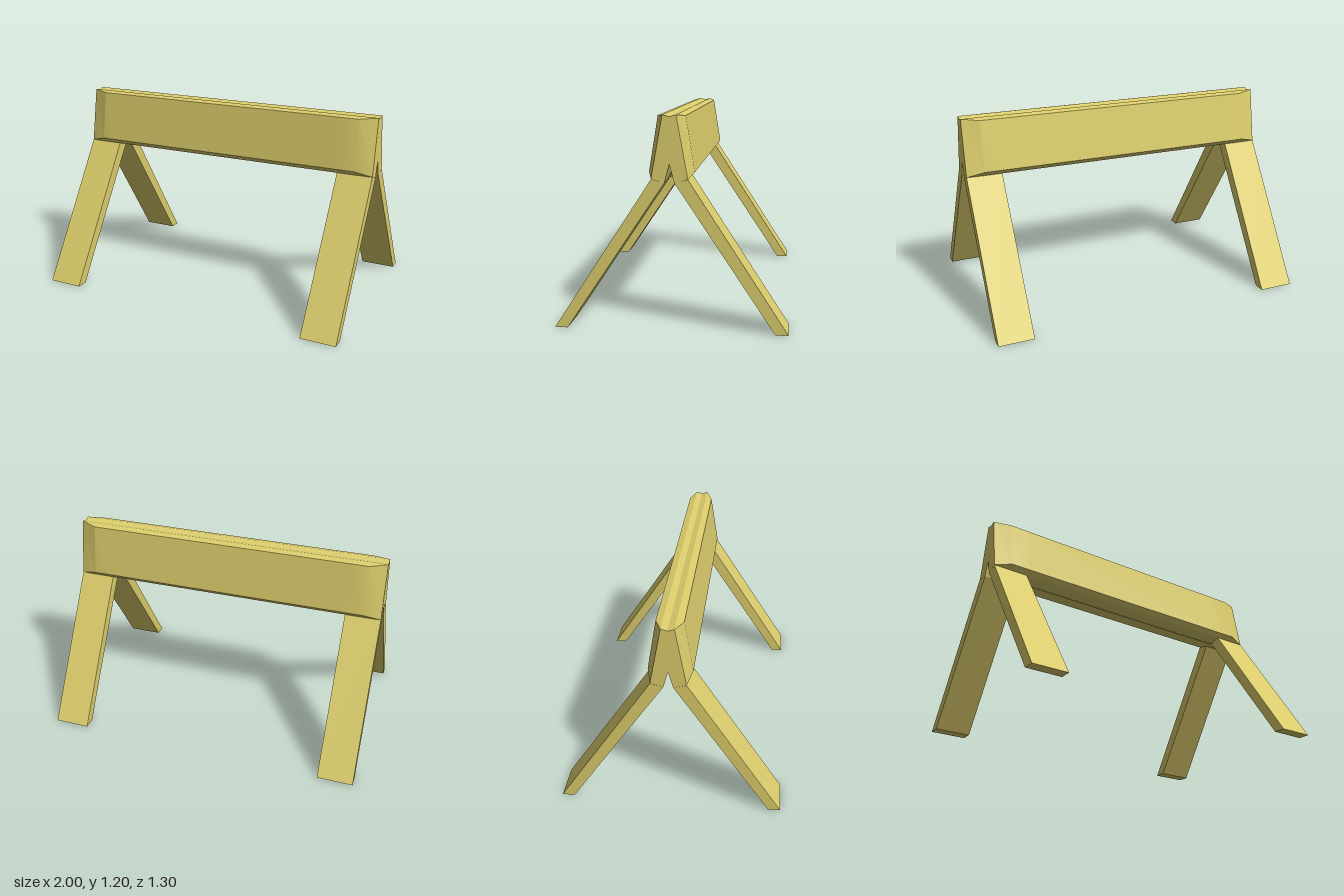
import * as THREE from 'three';
import { toCreasedNormals } from 'three/addons/utils/BufferGeometryUtils.js';

const material = new THREE.MeshStandardMaterial({ color: 0xdccd6c });

// Half outlines [z, y] from the top centre, down the side, to the bottom centre
const END = [[0, 1.185], [0.037, 1.195], [0.037, 1.195], [0.1, 0.85], [0.1, 0.85], [0.027, 0.83], [0, 0.93]];
const MID = [[0, 1.185], [0.037, 1.195], [0.077, 1.185], [0.127, 0.877], [0.1, 0.848], [0.027, 0.83], [0, 0.84]];
// Where the end chamfer finishes, the notch below is still rising
const NEAR = MID.map((p, i) => (i === 6 ? [0, 0.885] : p));

const mirrored = (half) => [...half, ...half.slice(1, -1).reverse().map(([z, y]) => [-z, y])];

// Beam: cross-sections joined along x, with both ends closed
function beamGeometry() {
  const stations = [[-1, END], [-0.895, NEAR], [-0.78, MID], [0.78, MID], [0.895, NEAR], [1, END]];
  const rings = stations.map(([x, half]) => mirrored(half).map(([z, y]) => new THREE.Vector3(x, y, z)));
  const points = [];
  const tri = (a, b, c) => {
    if (new THREE.Triangle(a, b, c).getArea() > 1e-7) points.push(a, b, c);
  };
  const n = rings[0].length;
  for (let i = 0; i < rings.length - 1; i++) {
    for (let j = 0; j < n; j++) {
      const k = (j + 1) % n;
      tri(rings[i][j], rings[i][k], rings[i + 1][k]);
      tri(rings[i][j], rings[i + 1][k], rings[i + 1][j]);
    }
  }
  // End faces
  const unique = (ring) => ring.filter((p, i) => !p.equals(ring[(i + 1) % n]));
  const left = unique(rings[rings.length - 1]);
  const right = unique(rings[0]);
  const faces = THREE.ShapeUtils.triangulateShape(left.map((p) => new THREE.Vector2(-p.z, p.y)), []);
  for (const [a, b, c] of faces) {
    tri(left[a], left[b], left[c]);
    tri(right[a], right[c], right[b]);
  }
  const geometry = new THREE.BufferGeometry().setFromPoints(points);
  return toCreasedNormals(geometry, 0.3);
}

// Leg: a slanted board, cut level at the floor
function legGeometry(side) {
  const outline = [[0.1, 0.849], [0.027, 0.83], [0.58, 0], [0.652, 0]];
  const shape = new THREE.Shape(outline.map(([z, y]) => new THREE.Vector2(-side * z, y)));
  const geometry = new THREE.ExtrudeGeometry(shape, { depth: 0.22, bevelEnabled: false });
  // Turn the extrusion along +x
  return geometry.rotateY(Math.PI / 2);
}

export function createModel() {
  const group = new THREE.Group();
  group.name = 'sawhorse';

  const beam = new THREE.Mesh(beamGeometry(), material);
  beam.name = 'beam';
  group.add(beam);

  for (const [side, sideName] of [[1, 'front'], [-1, 'back']]) {
    for (const [x, endName] of [[-1, 'Right'], [0.78, 'Left']]) {
      const leg = new THREE.Mesh(legGeometry(side), material);
      leg.name = `${sideName}${endName}Leg`;
      leg.position.x = x;
      group.add(leg);
    }
  }
  return group;
}
